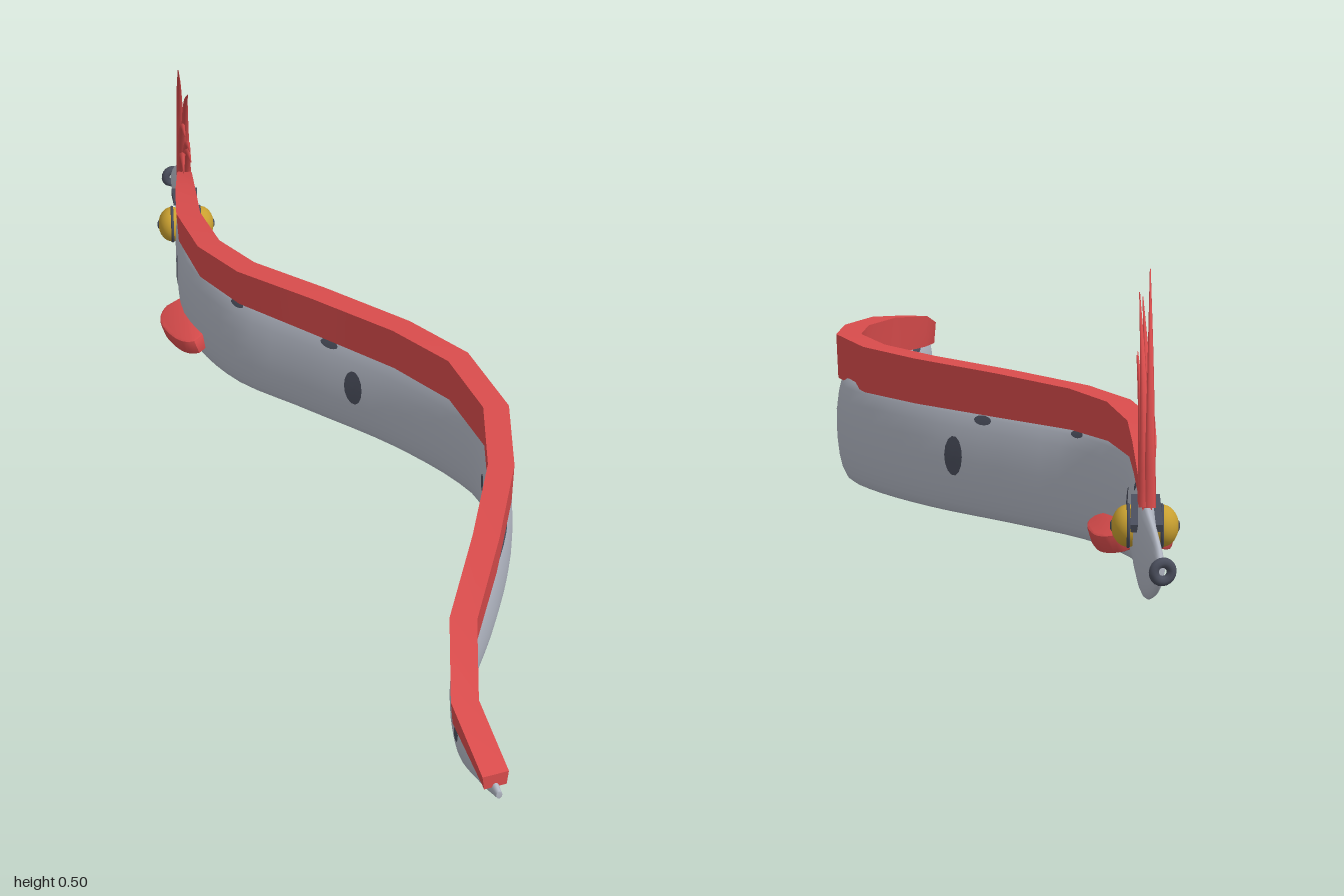
import * as THREE from 'three';
import { toCreasedNormals } from 'three/addons/utils/BufferGeometryUtils.js';

// Columns: z, spine x, belly y, back y, half width
const BODY = [
  [-0.985, -0.002, 0.078, 0.102, 0.006], [-0.97, -0.003, 0.056, 0.122, 0.009],
  [-0.94, -0.006, 0.037, 0.142, 0.012], [-0.88, -0.017, 0.020, 0.160, 0.016],
  [-0.78, -0.048, 0.010, 0.172, 0.020], [-0.64, -0.092, 0.002, 0.185, 0.022],
  [-0.53, -0.115, 0.000, 0.190, 0.022], [-0.38, -0.087, 0.001, 0.193, 0.022],
  [-0.25, -0.012, 0.004, 0.195, 0.022], [-0.06, 0.100, 0.006, 0.197, 0.022],
  [0.12, 0.165, 0.009, 0.196, 0.022], [0.23, 0.155, 0.011, 0.193, 0.022],
  [0.38, 0.100, 0.015, 0.188, 0.021], [0.54, 0.005, 0.023, 0.180, 0.020],
  [0.70, -0.102, 0.036, 0.165, 0.018], [0.85, -0.162, 0.057, 0.142, 0.014],
  [0.95, -0.167, 0.076, 0.122, 0.010], [1.0, -0.167, 0.090, 0.103, 0.005],
];

// Columns: z, lower edge y, upper edge y, half width
const FIN = [
  [-0.87, 0.155, 0.172, 0.008], [-0.80, 0.165, 0.206, 0.014], [-0.70, 0.176, 0.227, 0.019],
  [-0.60, 0.182, 0.240, 0.022], [-0.47, 0.184, 0.249, 0.022], [-0.36, 0.185, 0.254, 0.022],
  [-0.22, 0.185, 0.260, 0.022], [-0.06, 0.185, 0.263, 0.022], [0.07, 0.184, 0.264, 0.022],
  [0.23, 0.181, 0.259, 0.022], [0.38, 0.176, 0.249, 0.022], [0.54, 0.165, 0.234, 0.022],
  [0.70, 0.148, 0.207, 0.022], [0.85, 0.127, 0.168, 0.022], [0.985, 0.102, 0.126, 0.022],
];

// Smooth interpolation down one column of the body table
function sample(z, col) {
  const n = BODY.length - 1;
  let i = 0;
  while (i < n - 1 && BODY[i + 1][0] < z) i++;
  const slope = (k) => {
    const a = BODY[Math.max(k - 1, 0)], b = BODY[Math.min(k + 1, n)];
    return (b[col] - a[col]) / (b[0] - a[0]);
  };
  const h = BODY[i + 1][0] - BODY[i][0];
  const t = THREE.MathUtils.clamp((z - BODY[i][0]) / h, 0, 1), t2 = t * t, t3 = t2 * t;
  return (2 * t3 - 3 * t2 + 1) * BODY[i][col] + (t3 - 2 * t2 + t) * h * slope(i)
    + (3 * t2 - 2 * t3) * BODY[i + 1][col] + (t3 - t2) * h * slope(i + 1);
}
const spineX = (z) => sample(z, 1);

// Point beside the spine, offset square to its direction
function beside(z, offset, y) {
  const d = (spineX(z + 0.01) - spineX(z - 0.01)) / 0.02;
  const l = Math.hypot(1, d);
  return new THREE.Vector3(spineX(z) + offset / l, y, z - offset * d / l);
}

// Point on the body's flank
function flank(z, y, side, lift) {
  const lo = sample(z, 2), hi = sample(z, 3);
  const v = THREE.MathUtils.clamp((y - (lo + hi) / 2) / ((hi - lo) / 2), -1, 1);
  return beside(z, side * (sample(z, 4) * Math.sqrt(1 - v * v) + lift), y);
}

// Closed skin over rings of equal point count
function loft(rings) {
  const m = rings[0].length, pos = [], idx = [];
  rings.forEach((r) => r.forEach((p) => pos.push(p.x, p.y, p.z)));
  for (let i = 0; i < rings.length - 1; i++) {
    for (let j = 0; j < m; j++) {
      const a = i * m + j, b = i * m + (j + 1) % m;
      idx.push(a, b, a + m, b, b + m, a + m);
    }
  }
  const e = (rings.length - 1) * m;
  for (let j = 1; j < m - 1; j++) idx.push(0, j + 1, j, e, e + j, e + j + 1);
  const g = new THREE.BufferGeometry();
  g.setAttribute('position', new THREE.Float32BufferAttribute(pos, 3));
  g.setIndex(idx);
  g.computeVertexNormals();
  return g;
}

// Curved spine ray, tapering to a point
function rayGeometry(points, radius) {
  const curve = new THREE.CatmullRomCurve3(points);
  const segs = 14, sides = 6;
  const g = new THREE.TubeGeometry(curve, segs, radius, sides);
  const p = g.attributes.position, v = new THREE.Vector3();
  for (let i = 0; i <= segs; i++) {
    const c = curve.getPointAt(i / segs), k = 1 - 0.92 * i / segs;
    for (let j = 0; j <= sides; j++) {
      const n = i * (sides + 1) + j;
      v.fromBufferAttribute(p, n).sub(c).multiplyScalar(k).add(c);
      p.setXYZ(n, v.x, v.y, v.z);
    }
  }
  return g;
}

// Thin spot wrapped onto the flank
function spotGeometry(z, y, rz, ry, side) {
  const g = new THREE.RingGeometry(0.001, 1, 14, 3), p = g.attributes.position;
  for (let i = 0; i < p.count; i++) {
    const q = flank(z - side * p.getX(i) * rz, y + p.getY(i) * ry, side, 0.0015);
    p.setXYZ(i, q.x, q.y, q.z);
  }
  g.computeVertexNormals();
  return g;
}

export function createModel() {
  const material = (name, color) => Object.assign(new THREE.MeshStandardMaterial({ color }), { name });
  const silver = material('silver skin', 0xb2b7c3);
  const red = material('red fin', 0xd94c4c);
  const gold = material('gold eye', 0xc9a030);
  const dark = material('dark slate', 0x4a4e5c);

  const model = new THREE.Group();
  model.name = 'ribbonFish';
  const add = (name, geometry, mat, parent = model) => {
    const mesh = new THREE.Mesh(geometry, mat);
    mesh.name = name;
    parent.add(mesh);
    return mesh;
  };

  // Body: oval sections along the wavy spine
  const rings = [];
  for (let i = 0; i <= 80; i++) {
    const z = -0.985 + 1.985 * (0.5 - 0.5 * Math.cos(Math.PI * i / 80));
    const lo = sample(z, 2), hi = sample(z, 3), w = sample(z, 4), ring = [];
    for (let j = 0; j < 20; j++) {
      const a = j / 20 * Math.PI * 2;
      ring.push(beside(z, Math.cos(a) * w, (lo + hi) / 2 + Math.sin(a) * (hi - lo) / 2));
    }
    rings.push(ring);
  }
  add('body', loft(rings), silver);

  // Back fin: boxy ribbon with coarse bends
  const fin = loft(FIN.map(([z, lo, hi, w]) => [
    beside(z, w * 0.85, lo), beside(z, w, hi), beside(z, -w, hi), beside(z, -w * 0.85, lo),
  ]));
  add('backFin', toCreasedNormals(fin, 0.5), red);

  // Crest rays: root z, tip z, tip y
  const rays = [
    [-0.875, -0.68, 0.495], [-0.87, -0.655, 0.455], [-0.86, -0.55, 0.43],
    [-0.85, -0.62, 0.355], [-0.845, -0.575, 0.338], [-0.835, -0.6, 0.345],
  ];
  rays.forEach(([z0, z1, y1], i) => {
    const dz = z1 - z0, dy = y1 - 0.16, sway = (i % 2 ? 1 : -1) * 0.004;
    const at = (f, h) => new THREE.Vector3(
      THREE.MathUtils.lerp(spineX(z0), spineX(z1), f) + sway * (1 + f), 0.16 + dy * h, z0 + dz * f);
    add('crestRay', rayGeometry([at(0, 0), at(0.09, 0.3), at(0.36, 0.65), at(1, 1)], 0.01), red);
  });

  // Paddle outline: x outward, y toward the tail
  const paddle = new THREE.Shape();
  paddle.moveTo(0, -0.065);
  paddle.lineTo(0.035, -0.062);
  paddle.quadraticCurveTo(0.065, -0.045, 0.06, 0);
  paddle.quadraticCurveTo(0.055, 0.06, 0.03, 0.07);
  paddle.lineTo(0, 0.06);

  const spots = [
    [0.855, 0.11, 0.012, 0.012], [0.66, 0.15, 0.022, 0.007], [0.48, 0.166, 0.06, 0.008],
    [0.24, 0.113, 0.011, 0.016], [-0.14, 0.108, 0.017, 0.034], [-0.19, 0.175, 0.016, 0.008],
    [-0.37, 0.178, 0.014, 0.006], [-0.62, 0.105, 0.017, 0.033], [-0.72, 0.162, 0.015, 0.009],
  ];

  for (const side of [1, -1]) {
    const label = side > 0 ? 'left' : 'right';

    // Side paddles, drooping outward
    const g = new THREE.ExtrudeGeometry(paddle, {
      depth: 0.022, bevelEnabled: true, bevelThickness: 0.005, bevelSize: 0.004, bevelSegments: 2, curveSegments: 8,
    });
    g.rotateX(Math.PI / 2);
    g.rotateZ(-0.32);
    if (side < 0) {
      // Mirror across x and restore the winding
      g.scale(-1, 1, 1);
      for (const a of Object.values(g.attributes)) {
        for (let i = 0; i < a.count; i += 3) {
          for (let c = 0; c < a.itemSize; c++) {
            const t = a.getComponent(i, c);
            a.setComponent(i, c, a.getComponent(i + 1, c));
            a.setComponent(i + 1, c, t);
          }
        }
      }
    }
    g.deleteAttribute('normal');
    const paddleFin = add(label + 'PaddleFin', toCreasedNormals(g, 0.7), red);
    paddleFin.position.set(-0.112 + side * 0.006, 0.064, -0.527);

    // Eye: bulging ball with a dark ring and pupil
    const eye = new THREE.Group();
    eye.name = label + 'Eye';
    eye.position.copy(beside(-0.775, side * 0.026, 0.11));
    eye.rotation.y = Math.atan(-0.32);
    model.add(eye);
    add('eyeball', new THREE.SphereGeometry(0.033, 20, 14), gold, eye).scale.x = 0.8;
    const ring = add('eyeRing', new THREE.TorusGeometry(0.032, 0.003, 6, 24), dark, eye);
    ring.rotation.y = Math.PI / 2;
    const pupil = add('pupil', new THREE.SphereGeometry(0.009, 12, 8), dark, eye);
    pupil.scale.set(0.35, 1, 0.6);
    pupil.position.x = side * 0.025;

    // Slanted brow bar
    const a = flank(-0.78, 0.155, side, 0.004), b = flank(-0.865, 0.126, side, 0.004);
    const brow = add(label + 'Brow', new THREE.BoxGeometry(0.012, 0.013, a.distanceTo(b)), dark);
    brow.position.copy(a).lerp(b, 0.5);
    brow.lookAt(a);

    // Flank spots
    for (const s of spots) add(label + 'Spot', spotGeometry(...s, side), dark);
  }

  // Round lips at the snout
  const lips = add('lips', new THREE.TorusGeometry(0.014, 0.008, 8, 20), dark);
  lips.position.set(-0.002, 0.088, -0.992);
  return model;
}
